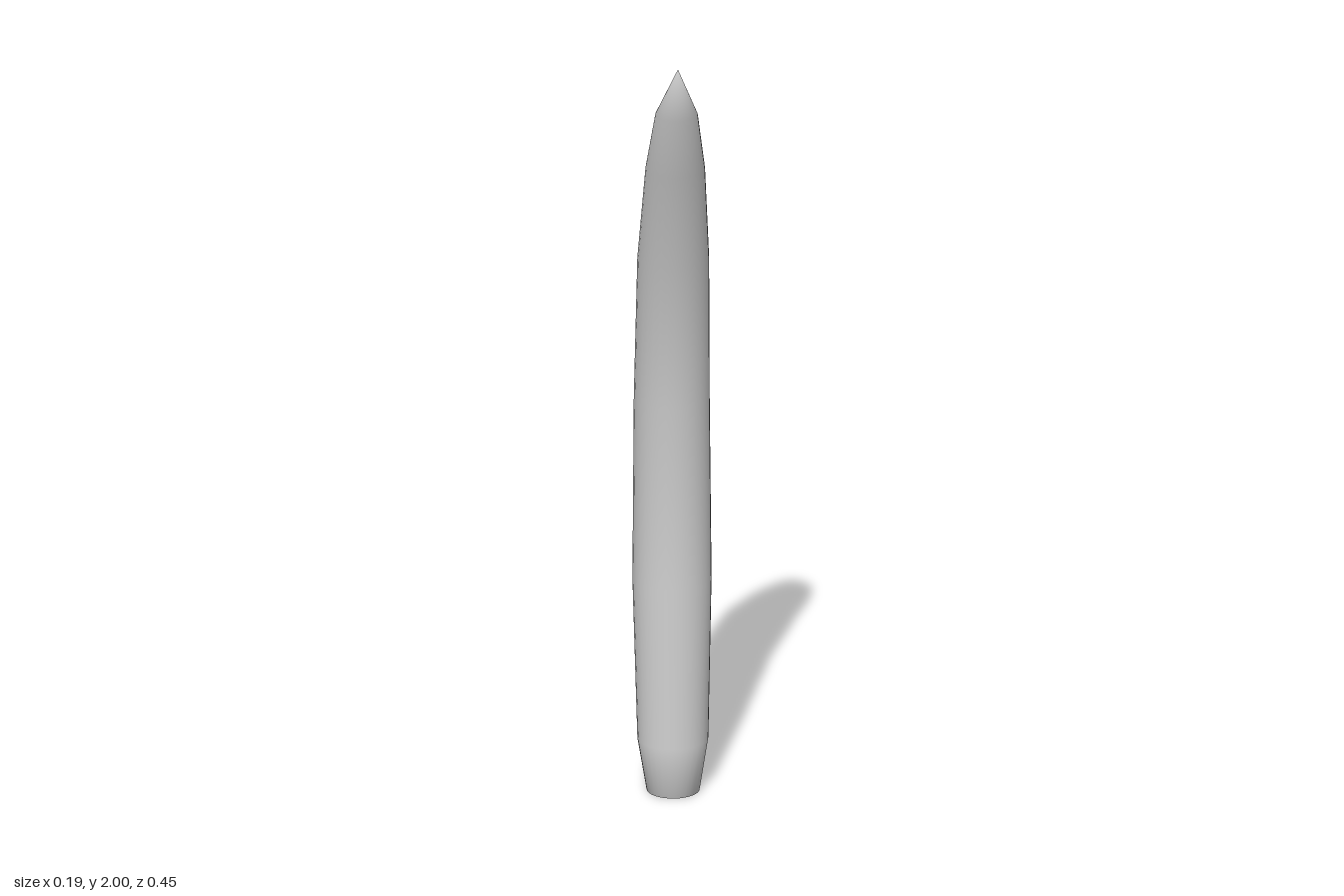
import * as THREE from 'three';

// Horizontal sections of the horn: height, front z, back z, half width
const SECTIONS = [
  [0, 0.015, -0.115, 0.065],
  [0.13, 0.02, -0.15, 0.087],
  [0.53, -0.02, -0.21, 0.097],
  [1.0, -0.036, -0.223, 0.093],
  [1.4, 0.042, -0.133, 0.088],
  [1.68, 0.14, -0.005, 0.073],
  [1.85, 0.193, 0.09, 0.052],
];
const TIP = [0, 2, 0.223];
const SIDES = 32;

// Skin the sections into one smooth, closed surface
function hornGeometry() {
  const positions = [];
  const index = [];
  for (const [y, front, back, halfWidth] of SECTIONS) {
    const centre = (front + back) / 2;
    const depth = (front - back) / 2;
    for (let i = 0; i < SIDES; i++) {
      const a = (i / SIDES) * Math.PI * 2;
      positions.push(Math.sin(a) * halfWidth, y, centre + Math.cos(a) * depth);
    }
  }
  const last = (SECTIONS.length - 1) * SIDES;
  const tip = last + SIDES;
  const base = tip + 1;
  positions.push(...TIP, 0, 0, -0.05);

  for (let i = 0; i < SIDES; i++) {
    const j = (i + 1) % SIDES;
    for (let r = 0; r < last; r += SIDES) {
      index.push(r + i, r + j, r + SIDES + j, r + i, r + SIDES + j, r + SIDES + i);
    }
    index.push(last + i, last + j, tip); // pointed end
    index.push(base, j, i); // flat foot
  }
  const geometry = new THREE.BufferGeometry();
  geometry.setAttribute('position', new THREE.Float32BufferAttribute(positions, 3));
  geometry.setIndex(index);
  geometry.computeVertexNormals();
  return geometry;
}

export function createModel() {
  const group = new THREE.Group();
  group.name = 'curvedHorn';
  const horn = new THREE.Mesh(
    hornGeometry(),
    new THREE.MeshStandardMaterial({ color: 0xcccccc })
  );
  horn.name = 'horn';
  group.add(horn);
  return group;
}
